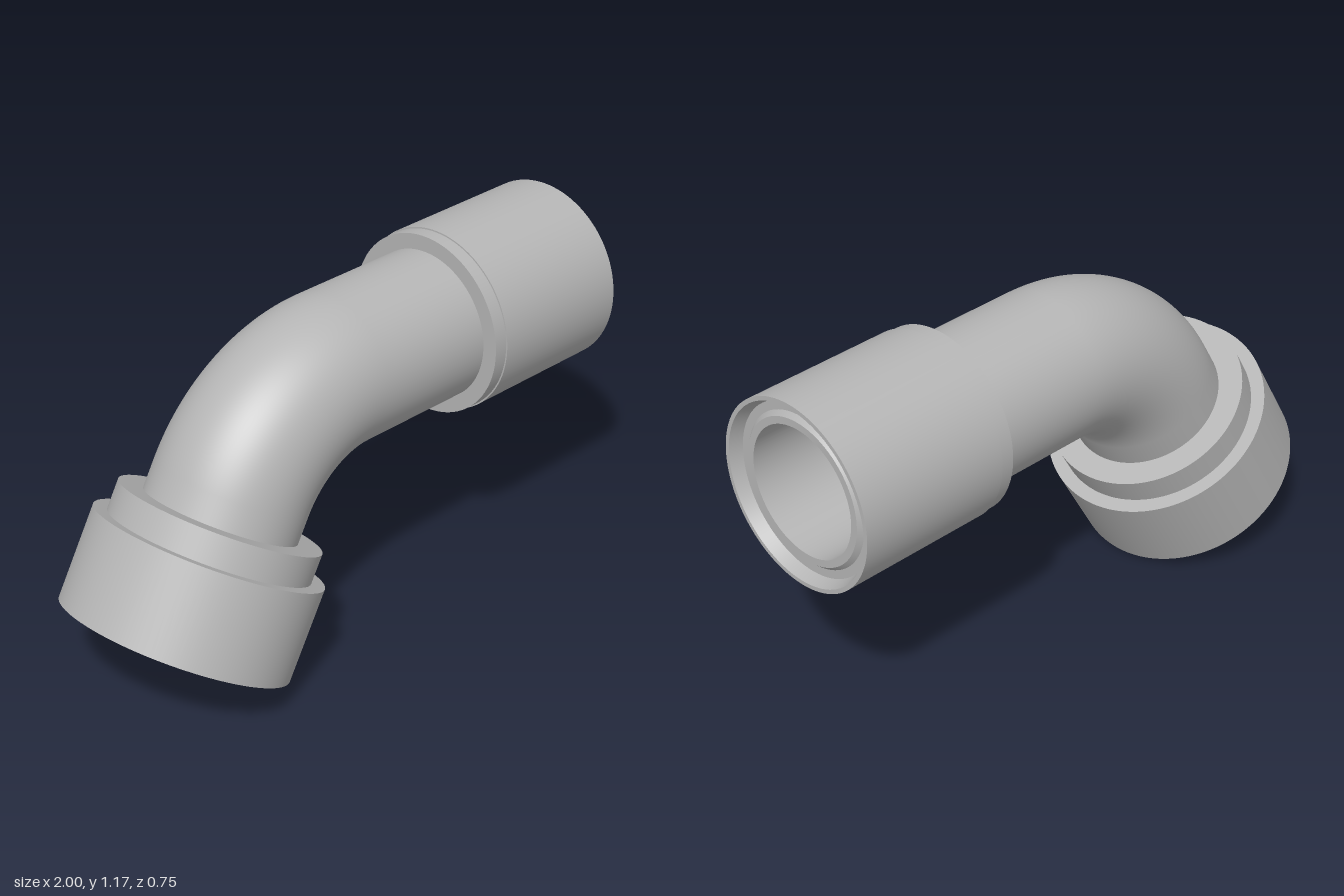
import * as THREE from 'three';
import { mergeGeometries } from 'three/addons/utils/BufferGeometryUtils.js';

const SEG = 96;
const OUTER = 0.25, BORE = 0.212;      // pipe radii
const AXIS_Y = 0.866, BEND_R = 0.495;  // height of upper axis, bend radius
const ANGLE = Math.PI / 3;             // bend angle

// Revolve a profile of [radius, height] points with a sharp edge at each point
function revolve(points) {
  const strips = [];
  for (let i = 0; i < points.length - 1; i++) {
    const pair = [points[i], points[i + 1]].map(([r, y]) => new THREE.Vector2(r, y));
    strips.push(new THREE.LatheGeometry(pair, SEG));
  }
  return mergeGeometries(strips);
}

export function createModel() {
  const grey = new THREE.MeshStandardMaterial({ color: 0xb5b5b5, side: THREE.DoubleSide });
  grey.name = 'grey';
  const model = new THREE.Group();
  model.name = 'pipeElbow';

  const add = (parent, name, geometry) => {
    const mesh = new THREE.Mesh(geometry, grey);
    mesh.name = name;
    parent.add(mesh);
    return mesh;
  };

  // Curved section, outside and bore
  const bend = new THREE.Group();
  bend.name = 'bend';
  bend.position.y = AXIS_Y - BEND_R;
  bend.rotation.z = Math.PI / 2;
  add(bend, 'bendOuter', new THREE.TorusGeometry(BEND_R, OUTER, SEG, 48, ANGLE));
  add(bend, 'bendBore', new THREE.TorusGeometry(BEND_R, BORE, SEG, 48, ANGLE));
  model.add(bend);

  // Horizontal arm, local y runs along +x
  const arm = new THREE.Group();
  arm.name = 'upperArm';
  arm.position.y = AXIS_Y;
  arm.rotation.z = -Math.PI / 2;
  add(arm, 'straightPipe', revolve([
    [OUTER, 0], [OUTER, 0.96], [0.236, 0.975], [BORE, 0.975], [BORE, 0],
  ]));
  // Sleeve with a slightly narrower collar and a recessed mouth
  add(arm, 'sleeve', revolve([
    [OUTER, 0.427], [0.302, 0.427], [0.302, 0.475], [0.307, 0.475],
    [0.307, 1], [0.293, 1], [0.278, 0.96], [OUTER, 0.96],
  ]));
  model.add(arm);

  // Lower arm, local y runs down and to the left
  const lower = new THREE.Group();
  lower.name = 'lowerArm';
  lower.position.set(-BEND_R * Math.sin(ANGLE), AXIS_Y - BEND_R * (1 - Math.cos(ANGLE)), 0);
  lower.rotation.z = Math.PI / 2 + ANGLE;
  add(lower, 'lowerPipe', revolve([[OUTER, 0], [OUTER, 0.1]]));
  add(lower, 'lowerBore', revolve([[BORE, 0.14], [BORE, 0]]));
  // Stepped socket, hollow from below
  add(lower, 'socket', revolve([
    [OUTER, 0.092], [0.33, 0.092], [0.33, 0.19], [0.375, 0.19],
    [0.375, 0.496], [0.358, 0.496], [0.35, 0.22], [0.3, 0.22],
    [0.3, 0.14], [BORE, 0.14],
  ]));
  model.add(lower);

  return model;
}
